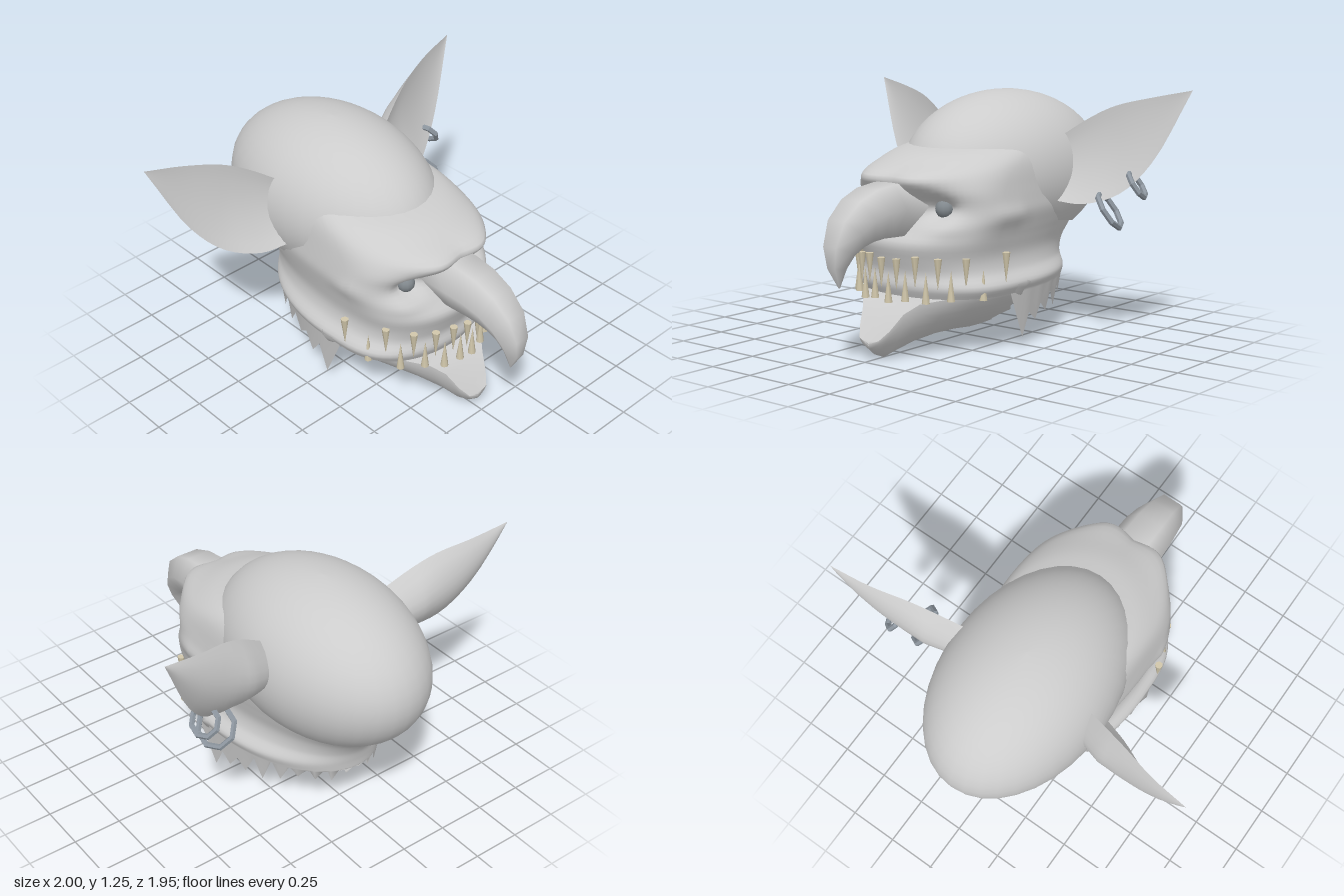
import * as THREE from 'three';
import { toCreasedNormals } from 'three/addons/utils/BufferGeometryUtils.js';

const { smoothstep, lerp, mapLinear } = THREE.MathUtils;
const V = (x, y, z) => new THREE.Vector3(x, y, z);
const mat = (name, color, side = THREE.FrontSide) => {
  const m = new THREE.MeshStandardMaterial({ color, side });
  m.name = name;
  return m;
};

// Surface from rows of points; fn(u, v, i, j) gives one point, wrap closes each row
function grid(rows, cols, wrap, fn) {
  const pos = [], idx = [], n = wrap ? cols : cols + 1;
  for (let i = 0; i <= rows; i++)
    for (let j = 0; j < n; j++) pos.push(...fn(i / rows, j / cols, i, j));
  for (let i = 0; i < rows; i++)
    for (let j = 0; j < cols; j++) {
      const k = (j + 1) % n, a = i * n + j, b = i * n + k, c = a + n, d = b + n;
      idx.push(a, c, b, b, c, d);
    }
  const g = new THREE.BufferGeometry();
  g.setAttribute('position', new THREE.Float32BufferAttribute(pos, 3));
  g.setIndex(idx);
  g.computeVertexNormals();
  return g;
}

const bump = (x, y, cx, cy, rx, ry) => Math.exp(-(((x - cx) / rx) ** 2) - ((y - cy) / ry) ** 2);

// Egg-shaped skull, cut off along a slope that is high above the face and low at the nape
function skullGeometry() {
  return grid(18, 36, true, (u, v) => {
    const phi = v * Math.PI * 2, c = Math.cos(phi);
    const a = u * Math.PI * (0.7 - (c > 0 ? 0.3 : 0.07) * c);
    return [0.43 * Math.sin(a) * Math.sin(phi), 0.83 + 0.412 * Math.cos(a), -0.33 + 0.642 * Math.sin(a) * c];
  });
}

// Face and neck: horizontal rings as [y, back z, front z, half width, widest z]
function faceGeometry() {
  const rings = [
    [0.985, -0.6, 0.25, 0.32, -0.1], [0.96, -0.64, 0.36, 0.35, -0.04], [0.92, -0.7, 0.46, 0.375, 0.02],
    [0.87, -0.75, 0.55, 0.39, 0.05], [0.81, -0.8, 0.55, 0.4, 0.08], [0.74, -0.83, 0.5, 0.41, 0.1],
    [0.68, -0.84, 0.49, 0.415, 0.1], [0.61, -0.83, 0.53, 0.4, 0.1], [0.55, -0.785, 0.57, 0.385, 0.1],
    [0.47, -0.7, 0.55, 0.37, 0.08], [0.4, -0.655, 0.53, 0.385, 0.06], [0.34, -0.64, 0.54, 0.43, 0.05],
    [0.29, -0.635, 0.52, 0.41, 0.03],
  ];
  const ends = new THREE.CatmullRomCurve3(rings.map(r => V(r[1], r[0], r[2])));
  const sides = new THREE.CatmullRomCurve3(rings.map(r => V(r[3], r[0], r[4])));
  const rows = 40;
  return grid(rows + 1, 72, true, (u, v, i, j) => {
    const t = v * Math.PI * 2, c = Math.cos(t);
    const s = lerp(0.45 * Math.max(0, 0.2 - c), 1, Math.min(i / rows, 1));  // starts lower at the back
    const e = ends.getPoint(s), w = sides.getPoint(s);
    let x = w.x * Math.sin(t), y = e.y;
    const fullness = 0.57 + 0.48 * smoothstep(y, 0.75, 0.98);
    let z = c > 0 ? w.z + (e.z - w.z) * c ** fullness : w.z + (w.z - e.x) * c;
    if (c > 0) {
      const ax = Math.abs(x);
      z += 0.05 * bump(ax, y, 0.15, 0.86, 0.12, 0.05);  // brow ridge
      z -= 0.08 * bump(ax, y, 0.2, 0.72, 0.07, 0.05);   // eye socket
      z += 0.03 * bump(ax, y, 0.28, 0.63, 0.1, 0.05);   // cheekbone
      x *= 1 + 0.04 * bump(z, y, 0.15, 0.67, 0.15, 0.05);
    }
    if (i > rows && z < 0.05) {
      // ragged lower edge of the neck
      y = z > -0.15 ? mapLinear(z, 0.05, -0.15, 0.1, 0.17) : mapLinear(z, -0.15, -0.64, 0.17, 0.31);
      y += (j % 2 ? 0.045 : -0.045) + 0.02 * Math.sin(j * 2.3);
      x *= 0.95;
    }
    return [x, y, z];
  });
}

// Lower jaw sections as [z, half width, top y, bottom y]
const JAW = [
  [0, 0.42, 0.35, 0.05], [0.07, 0.445, 0.34, 0.05], [0.18, 0.41, 0.33, 0.06], [0.32, 0.34, 0.31, 0.06],
  [0.46, 0.255, 0.29, 0.045], [0.56, 0.18, 0.275, 0.02], [0.62, 0.13, 0.23, 0.005],
  [0.68, 0.095, 0.155, 0.03], [0.72, 0.06, 0.11, 0.065], [0.722, 0.001, 0.088, 0.086],
];

// V-shaped shell of the jaw, open towards the throat
function jawGeometry() {
  return grid(JAW.length - 1, 20, false, (u, v, i, j) => {
    const [z, w, top, bot] = JAW[i], a = Math.PI * v, c = Math.cos(a);
    const x = w * Math.sign(c) * Math.abs(c) ** 1.35;
    const y = top - (top - bot) * Math.max(0, Math.sin(a)) ** 1.35;
    const rag = i === 0 ? (j % 2 ? -0.04 : 0.03) : 0;   // torn throat edge
    return [x, y, z + rag];
  });
}

// Upper face of the chin between the lips
function chinGeometry() {
  const front = JAW.slice(4);
  return grid(front.length - 1, 2, false, (u, v, i) => {
    const [z, w, top] = front[i], x = w * (1 - 2 * v);
    return [x, x === 0 ? top - 0.01 : top, z];
  });
}

// Hooked beak-like nose: hexagonal sections as [z, y, half width, half height, downward tilt]
function noseGeometry() {
  const st = [
    [0.42, 0.715, 0.14, 0.13, 0], [0.6, 0.715, 0.14, 0.125, 0.05], [0.7, 0.71, 0.135, 0.118, 0.17],
    [0.79, 0.685, 0.122, 0.108, 0.42], [0.865, 0.635, 0.105, 0.094, 0.8], [0.915, 0.56, 0.08, 0.068, 1.2],
    [0.93, 0.48, 0.048, 0.04, 1.5], [0.918, 0.388, 0.004, 0.004, 1.65],
  ];
  const hex = [[0.5, 1], [1, 0.1], [0.5, -1], [-0.5, -1], [-1, 0.1], [-0.5, 1]];
  return grid(st.length - 1, 6, true, (u, v, i, j) => {
    const [z, y, w, h, a] = st[i], [p, q] = hex[j];
    return [p * w, y + q * h * Math.cos(a), z + q * h * Math.sin(a)];
  });
}

// Ear sheet between an upper and a lower edge, bulging backwards by depth
function earGeometry(s, depth) {
  const upper = new THREE.CatmullRomCurve3([V(0.36, 1.02, -0.34), V(0.5, 1.115, -0.39),
    V(0.62, 1.175, -0.43), V(0.8, 1.22, -0.485), V(1, 1.26, -0.52)]);
  const lower = new THREE.CatmullRomCurve3([V(0.39, 0.7, -0.24), V(0.53, 0.69, -0.28),
    V(0.69, 0.745, -0.36), V(0.83, 0.9, -0.43), V(1, 1.26, -0.52)]);
  return grid(16, 10, false, (u, v) => {
    const p = upper.getPoint(u).lerp(lower.getPoint(u), v);
    p.z -= depth * (1 - u) ** 0.85 * (0.75 + Math.min(0.25, u)) * Math.sin(Math.PI * v) ** 0.8;
    return [s * p.x, p.y, p.z];
  });
}

export function createModel() {
  const model = new THREE.Group();
  const skin = mat('grey skin', 0xcccccc, THREE.DoubleSide);
  const eyeGrey = mat('dark eye', 0x82898e);
  const metal = mat('ring metal', 0x8d969f);
  const ivory = mat('tooth ivory', 0xd0c6aa);
  const add = (name, geo, m, parent = model) => {
    const mesh = new THREE.Mesh(geo, m);
    mesh.name = name;
    parent.add(mesh);
    return mesh;
  };

  add('skull', skullGeometry(), skin);
  add('faceAndNeck', faceGeometry(), skin);
  add('lowerJaw', jawGeometry(), skin);
  add('chinTop', chinGeometry(), skin);
  add('hookedNose', noseGeometry(), skin);

  for (const s of [1, -1]) {
    const side = s > 0 ? 'left' : 'right';
    add(side + 'EarBack', earGeometry(s, 0.2), skin);
    add(side + 'EarFront', earGeometry(s, 0.05), skin);
    add(side + 'Eye', new THREE.SphereGeometry(0.046, 12, 8), eyeGrey).position.set(s * 0.205, 0.715, 0.405);
  }

  // Two eight-sided rings through the left ear
  for (const [name, x, y, z, r] of [['largeEarring', 0.64, 0.66, -0.355, 0.1], ['smallEarring', 0.75, 0.79, -0.43, 0.072]]) {
    const g = new THREE.TorusGeometry(r, 0.015, 6, 8).rotateY(Math.PI / 2 + 0.28).rotateZ(0.62);
    add(name, toCreasedNormals(g, 0.6), metal).position.set(x, y, z);
  }

  // Interlocking teeth around the mouth
  const teeth = new THREE.Group();
  teeth.name = 'teeth';
  model.add(teeth);
  const tooth = new THREE.ConeGeometry(0.02, 0.15, 7);
  const place = (name, x, y, flip) => {
    const m = add(name, tooth, ivory, teeth);
    const c = Math.sqrt(1 - (x / 0.435) ** 2);
    m.position.set(x, y, 0.1 + 0.53 * c ** 1.2);
    m.rotation.x = flip ? Math.PI : 0;
  };
  for (let i = 0; i < 11; i++) {
    place('upperTooth', -0.42 + i * 0.084, 0.42 + 0.008 * Math.sin(i * 2), true);
    if (i < 10) place('lowerTooth', -0.378 + i * 0.084, 0.36 + 0.008 * Math.cos(i * 3), false);
  }
  return model;
}
